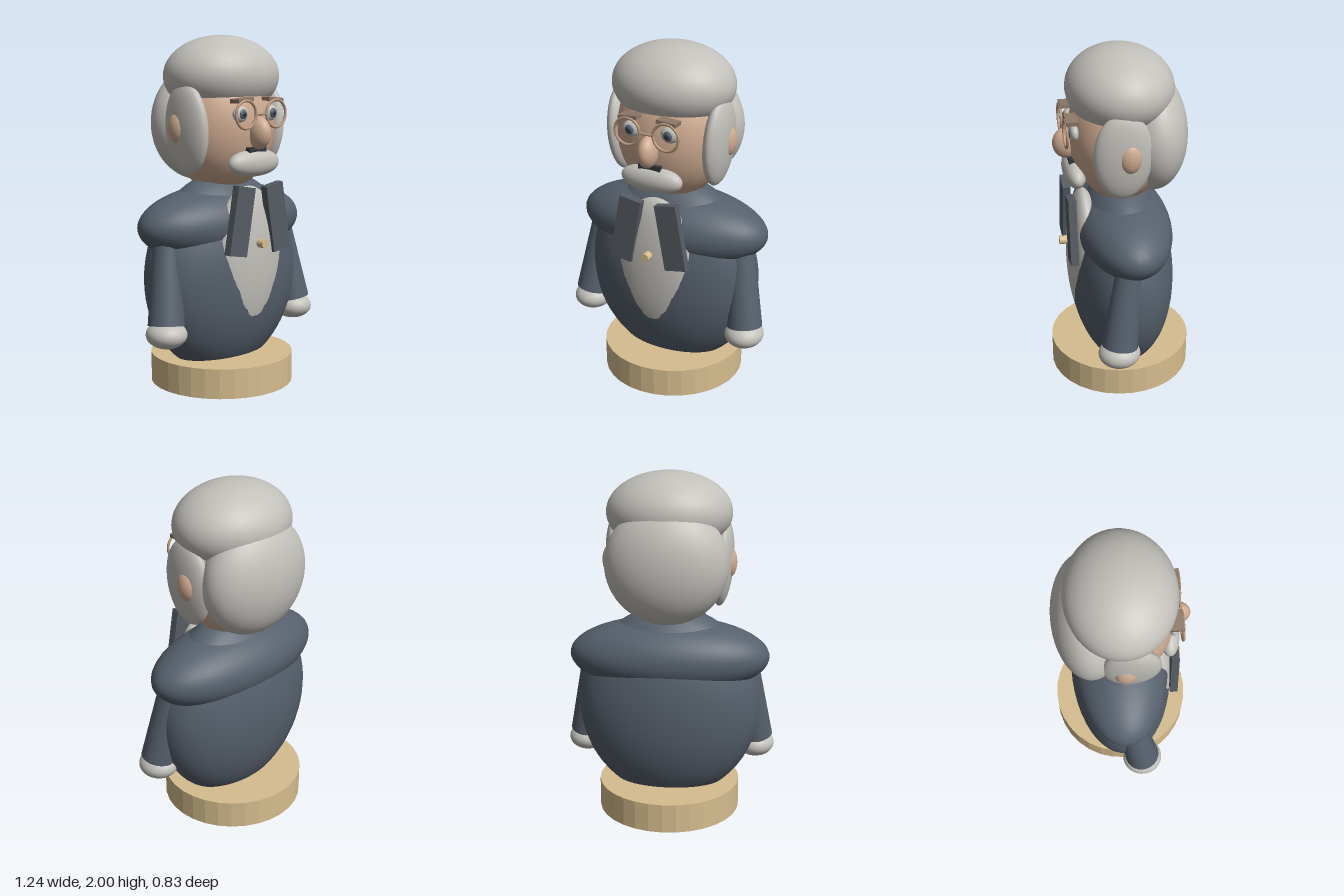
import * as THREE from 'three';

const mat = (name, color) => {
  const m = new THREE.MeshStandardMaterial({ color });
  m.name = name;
  return m;
};

export function createModel() {
  const coat = mat('coat slate', 0x56606c);
  const lapelGrey = mat('lapel grey', 0x565c64);
  const silver = mat('silver', 0xc2c0ba);
  const skin = mat('skin', 0xcfab91);
  const tan = mat('tan wood', 0xd6bd8e);
  const frame = mat('frame brown', 0xb8977c);
  const browTone = mat('brow brown', 0x8d7868);
  const iris = mat('iris slate', 0x56636f);
  const dark = mat('dark', 0x33363b);

  const model = new THREE.Group();
  model.name = 'figure';

  const add = (name, geo, material, pos, rotZ = 0) => {
    const m = new THREE.Mesh(geo, material);
    m.name = name;
    m.position.set(...pos);
    m.rotation.z = rotZ;
    model.add(m);
    return m;
  };
  const ellipsoid = (name, material, pos, r, rotZ = 0) =>
    add(name, new THREE.SphereGeometry(1, 48, 32).scale(...r), material, pos, rotZ);

  // Round plinth
  const plinth = new THREE.CylinderGeometry(0.415, 0.415, 0.17, 32).toNonIndexed();
  plinth.computeVertexNormals();
  add('plinth', plinth, tan, [0, 0.085, 0]);

  // Coat body, shoulders and shirt front
  ellipsoid('torso', coat, [0, 0.64, 0], [0.53, 0.585, 0.3]);
  ellipsoid('shoulders', coat, [0, 0.94, -0.005], [0.58, 0.22, 0.28]);
  ellipsoid('shirtFront', silver, [0, 0.74, 0.213], [0.25, 0.42, 0.1]);
  const button = new THREE.CylinderGeometry(0.025, 0.025, 0.06, 20).rotateX(Math.PI / 2);
  add('button', button, tan, [0, 0.845, 0.325]);

  // Head and hair
  ellipsoid('head', skin, [0, 1.5, 0], [0.33, 0.385, 0.29]);
  ellipsoid('topHair', silver, [0, 1.77, 0], [0.355, 0.23, 0.3]);
  ellipsoid('backHair', silver, [0, 1.505, -0.17], [0.345, 0.34, 0.205]);
  ellipsoid('nose', skin, [0, 1.46, 0.3], [0.055, 0.09, 0.078]);

  // Moustache: an ellipsoid with blunted ends
  const tash = new THREE.SphereGeometry(1, 48, 32).rotateZ(Math.PI / 2);
  const p = tash.attributes.position;
  for (let i = 0; i < p.count; i++) {
    const x = p.getX(i);
    p.setX(i, Math.sign(x) * Math.pow(Math.abs(x), 1.0) * (1.12 - 0.12 * x * x));
  }
  tash.scale(0.186, 0.076, 0.064);
  tash.computeVertexNormals();
  add('moustache', tash, silver, [0, 1.292, 0.262]);
  add('mouth', new THREE.BoxGeometry(0.135, 0.03, 0.03), dark, [0, 1.367, 0.28]);

  // Glasses bridge
  add('bridge', new THREE.CylinderGeometry(0.007, 0.007, 0.085, 12).rotateZ(Math.PI / 2),
    frame, [0, 1.565, 0.318]);

  // Mirrored parts
  for (const s of [1, -1]) {
    const side = s > 0 ? 'left' : 'right';

    // Arm: tapered sleeve from shoulder to cuff
    const top = new THREE.Vector3(s * 0.445, 0.88, 0.03);
    const cuff = new THREE.Vector3(s * 0.507, 0.42, 0.095);
    const dir = top.clone().sub(cuff);
    const sleeve = add(side + 'Sleeve', new THREE.CylinderGeometry(0.075, 0.102, dir.length(), 24),
      coat, top.clone().add(cuff).multiplyScalar(0.5).toArray());
    sleeve.quaternion.setFromUnitVectors(new THREE.Vector3(0, 1, 0), dir.normalize());
    ellipsoid(side + 'Hand', silver, [s * 0.507, 0.37, 0.097], [0.112, 0.077, 0.118]);

    // Lapel
    add(side + 'Lapel', new THREE.BoxGeometry(0.132, 0.385, 0.045), lapelGrey,
      [s * 0.141, 0.98, 0.298], s * 0.176);

    // Side hair and ear
    ellipsoid(side + 'SideHair', silver, [s * 0.297, 1.485, 0.035], [0.066, 0.255, 0.162], -s * 0.06);
    ellipsoid(side + 'Ear', skin, [s * 0.338, 1.49, 0.005], [0.045, 0.088, 0.062]);

    // Eye, lens rim and brow
    const x = s * 0.117;
    ellipsoid(side + 'Eye', silver, [x, 1.567, 0.272], [0.052, 0.045, 0.028]);
    ellipsoid(side + 'Iris', iris, [x, 1.567, 0.293], [0.027, 0.027, 0.014]);
    ellipsoid(side + 'Pupil', dark, [x, 1.567, 0.303], [0.014, 0.014, 0.008]);
    add(side + 'LensRim', new THREE.TorusGeometry(0.076, 0.008, 12, 40), frame, [x, 1.565, 0.318]);
    add(side + 'Brow', new THREE.BoxGeometry(0.115, 0.022, 0.07), browTone, [x, 1.643, 0.285], -s * 0.09);
  }
  return model;
}
